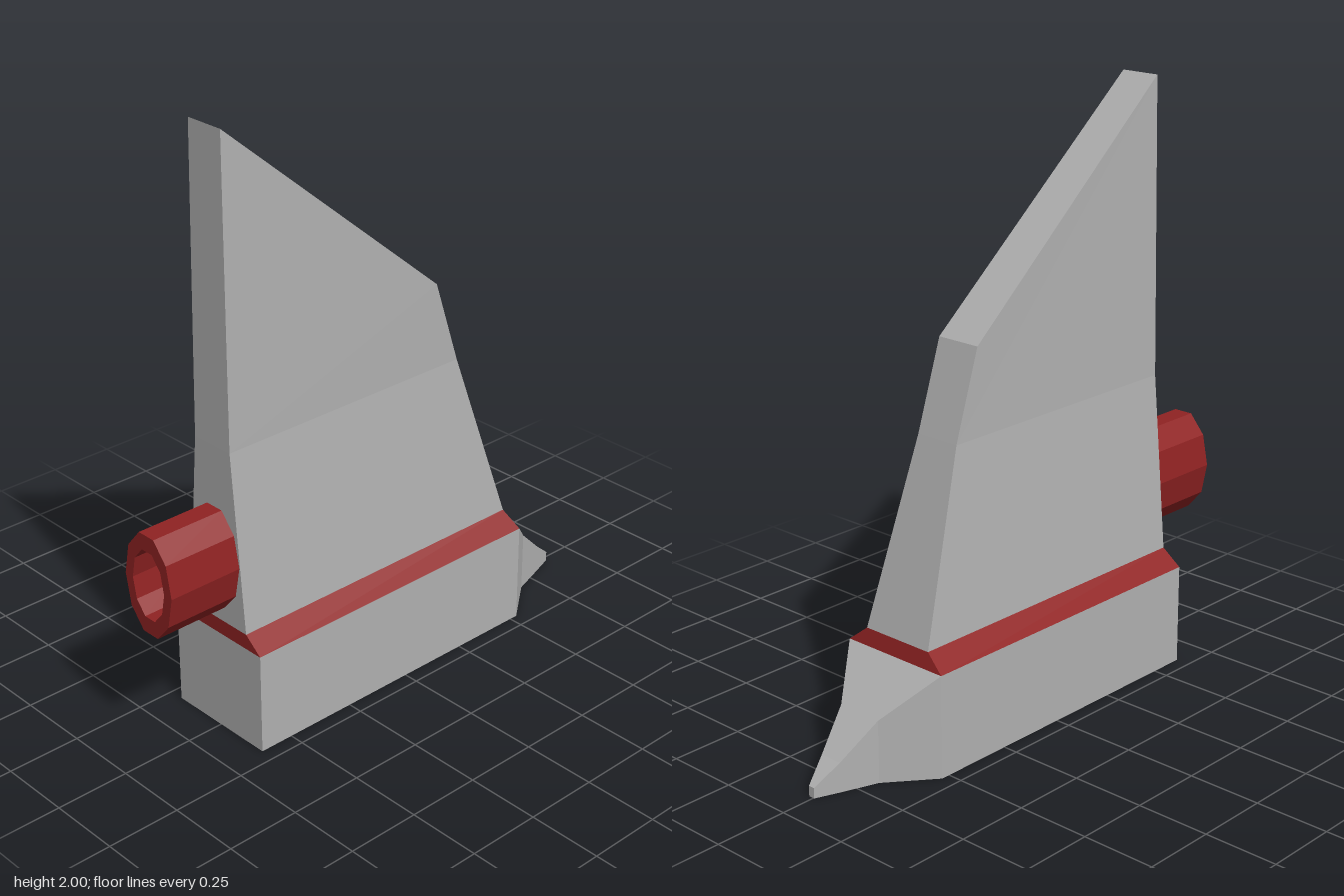
import * as THREE from 'three';

const mat = (name, color) => {
  const m = new THREE.MeshStandardMaterial({ color, flatShading: true, side: THREE.DoubleSide });
  m.name = name;
  return m;
};

// Skin a series of matching cross-sections; sides = how many ring sides to cover, cap closes the last ring
function loft(rings, sides, cap) {
  const pos = [];
  const quad = (a, b, c, d) => pos.push(...a, ...b, ...c, ...a, ...c, ...d);
  for (let r = 0; r < rings.length - 1; r++) {
    const lo = rings[r], hi = rings[r + 1];
    for (let i = 0; i < sides; i++) {
      const j = (i + 1) % lo.length;
      quad(lo[i], lo[j], hi[j], hi[i]);
    }
  }
  if (cap) quad(...rings[rings.length - 1]);
  const g = new THREE.BufferGeometry();
  g.setAttribute('position', new THREE.Float32BufferAttribute(pos, 3));
  g.computeVertexNormals();
  return g;
}

// Horizontal section from rear (x0, y0) to front (x1, y1) with half widths w0 and w1
const section = (x0, y0, w0, x1, y1, w1, z = 0.003) => [
  [x0, y0, z + w0], [x1, y1, z + w1], [x1, y1, z - w1], [x0, y0, z - w0],
];

export function createModel() {
  const group = new THREE.Group();
  const grey = mat('grey', 0xb0b0b0);
  const red = mat('red', 0x8f2222);
  const add = (name, geo, material) => {
    const m = new THREE.Mesh(geo, material);
    m.name = name;
    group.add(m);
    return m;
  };

  const floor = section(-0.62, 0, 0.2, 0.53, 0, 0.2, 0);
  const shoulder = section(-0.62, 0.345, 0.2, 0.53, 0.345, 0.2, 0);
  const finRoot = section(-0.62, 0.397, 0.133, 0.515, 0.397, 0.133);

  // Base: open underneath and open towards the nose
  const [a, b, c, d] = floor, [e, f, g, h] = shoulder;
  add('base', loft([[b, c, d, a].slice(1).concat([b]), [f, g, h, e].slice(1).concat([f])], 3, false), grey);

  // Chamfered band between base and fin
  add('band', loft([shoulder, finRoot], 4, false), red);

  // Tapering fin with a raked top
  add('fin', loft([
    finRoot,
    section(-0.62, 1.0, 0.08, 0.33, 1.0, 0.081),
    section(-0.61, 2.0, 0.07, 0.235, 1.29, 0.08),
  ], 4, true), grey);

  // Pointed nose, open underneath
  const noseRing = ([x, y, w, z]) => [[x, 0, z - w], [x, y, z - w], [x, y, z + w], [x, 0, z + w]];
  const nose = [
    [0.53, 0.345, 0.2, 0], [0.68, 0.21, 0.081, 0.003],
    [0.80, 0.10, 0.04, 0.005], [0.88, 0.035, 0.011, 0.007],
  ].map(noseRing);
  add('nose', loft(nose, 3, true), grey);

  // Ten-sided oval exhaust with a recessed mouth
  const profile = [[1, 0], [1, 0.26], [0.68, 0.26], [0.68, 0.14], [0, 0.14]]
    .map(([r, y]) => new THREE.Vector2(r, y));
  const pipe = new THREE.LatheGeometry(profile, 10);
  pipe.scale(0.179, 1, 0.11);
  pipe.rotateZ(Math.PI / 2);
  pipe.translate(-0.62, 0.62, 0.003);
  add('exhaust', pipe, red);

  return group;
}
